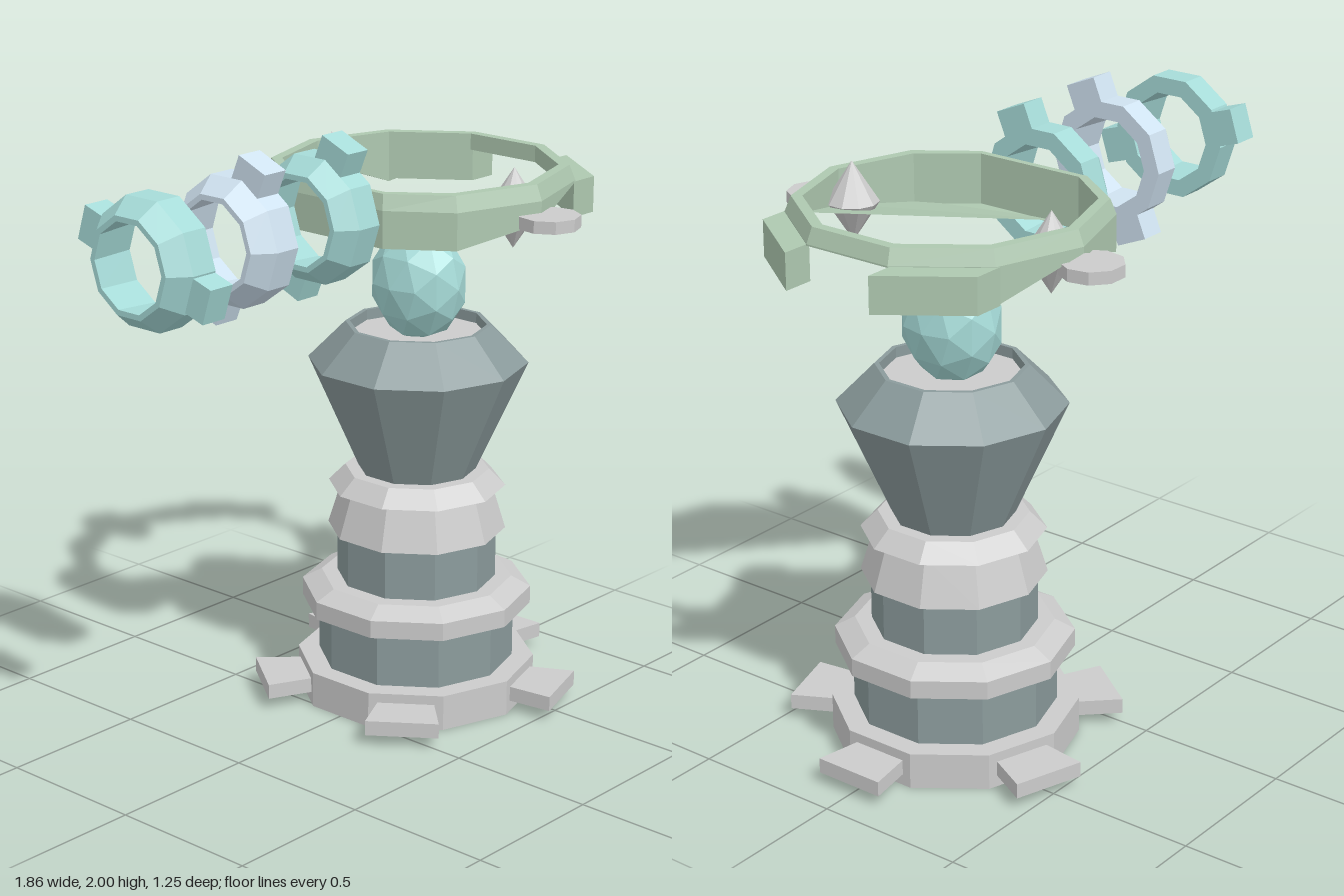
import * as THREE from 'three';

const paint = (color) => new THREE.MeshStandardMaterial({ color, flatShading: true });
const GREY = paint(0xcccccc), SLATE = paint(0x8b9b9c), TEAL = paint(0xa6dbd8), BLUE = paint(0xcfe2f0);
const GREEN = paint(0xaec8b0), SHEET = paint(0xaec8b0);
SHEET.side = THREE.DoubleSide;

const v2 = (p) => new THREE.Vector2(p[0], p[1]);

function add(parent, name, geometry, material, x = 0, y = 0, z = 0) {
  const mesh = new THREE.Mesh(geometry, material);
  mesh.name = name;
  mesh.position.set(x, y, z);
  parent.add(mesh);
  return mesh;
}

// ten-sided turned part from [radius, height] pairs, bottom to top
const turned = (profile) => new THREE.LatheGeometry(profile.map(v2), 10);

function geometryFrom(points, index) {
  const g = new THREE.BufferGeometry();
  g.setAttribute('position', new THREE.Float32BufferAttribute(points.flat(), 3));
  g.setIndex(index);
  g.computeVertexNormals();
  return g;
}

// closed tube of quads through equal cross-sections arranged in a circle
function closedLoft(sections) {
  const n = sections.length, m = sections[0].length, index = [];
  for (let k = 0; k < n; k++) {
    for (let i = 0; i < m; i++) {
      const k2 = (k + 1) % n, i2 = (i + 1) % m;
      const a = k * m + i, b = k2 * m + i, c = k2 * m + i2, d = k * m + i2;
      index.push(a, b, c, a, c, d);
    }
  }
  return geometryFrom(sections.flat(), index);
}

// corner of the crown outline, cut flat on its -x side
function crownCorner(k, r) {
  if (k === 7 || k === 8) return [-0.425 + (0.5 - r) * 0.65, (k === 8 ? 1 : -1) * 0.43 * r];
  const t = (k * Math.PI) / 5;
  return [Math.sin(t) * r, Math.cos(t) * r];
}

function buildTower() {
  const tower = new THREE.Group();
  tower.name = 'tower';
  const tiers = [
    ['base', GREY, [[0, 0], [0.4, 0], [0.4, 0.12], [0, 0.12]]],
    ['lowerDrum', SLATE, [[0.328, 0.12], [0.328, 0.31]]],
    ['collar', GREY, [[0, 0.31], [0.385, 0.31], [0.385, 0.37], [0.32, 0.405], [0, 0.405]]],
    ['upperDrum', SLATE, [[0.266, 0.4], [0.266, 0.58]]],
    ['lowerSkirt', GREY, [[0, 0.577], [0.297, 0.577], [0.25, 0.73]]],
    ['upperSkirt', GREY, [[0, 0.727], [0.295, 0.727], [0.24, 0.783], [0, 0.783]]],
    ['funnel', SLATE, [[0.195, 0.78], [0.363, 1.155], [0.24, 1.28], [0.225, 1.28], [0.225, 1.23]]],
    ['funnelFloor', GREY, [[0.23, 1.245], [0, 1.245]]],
  ];
  for (const [name, material, profile] of tiers) add(tower, name, turned(profile), material);

  // five feet around the base
  for (let i = 0; i < 5; i++) {
    const foot = new THREE.Group();
    foot.name = 'foot';
    foot.rotation.y = (i * Math.PI * 2) / 5;
    const shape = new THREE.Shape([[0.36, -0.09], [0.53, -0.12], [0.53, 0.12], [0.36, 0.09]].map(v2));
    const slab = new THREE.ExtrudeGeometry(shape, { depth: 0.05, bevelEnabled: false });
    slab.rotateX(-Math.PI / 2);
    add(foot, 'footSlab', slab, GREY, 0, 0.038, 0);
    tower.add(foot);
  }

  // faceted egg in the funnel
  const egg = new THREE.IcosahedronGeometry(1, 1);
  egg.scale(0.145, 0.195, 0.17);
  add(tower, 'egg', egg, TEAL, 0, 1.42, 0);
  return tower;
}

function buildCrown() {
  const crown = new THREE.Group();
  crown.name = 'crown';

  // band whose lower edge rises and falls around the ring
  const low = [1.7, 1.765, 1.765, 1.765, 1.65, 1.75, 1.65, 1.65, 1.65, 1.65];
  const at = (k, r, y) => {
    const [x, z] = crownCorner(k, r);
    return [x, y, z];
  };
  const sections = low.map((y, k) => [
    at(k, 0.5, y), at(k, 0.5, 1.77), at(k, 0.48, 1.82), at(k, 0.445, 1.82), at(k, 0.445, y),
  ]);
  add(crown, 'crownBand', closedLoft(sections), GREEN);

  // sloping web across one side of the opening
  const web = [
    [-0.42, 1.655, -0.12], at(8, 0.49, 1.655), at(9, 0.49, 1.655), at(0, 0.49, 1.7), at(1, 0.49, 1.768),
  ];
  add(crown, 'web', geometryFrom(web, [0, 2, 1, 0, 3, 2, 0, 4, 3]), SHEET);

  for (const s of [1, -1]) {
    // slanted plate at the +x corners
    const plate = new THREE.Shape(
      [[0.28, -s * 0.41], [0.385, -s * 0.41], [0.565, -s * 0.158], [0.46, -s * 0.158]].map(v2));
    const plateGeo = new THREE.ExtrudeGeometry(plate, { depth: 0.118, bevelEnabled: false });
    plateGeo.rotateX(-Math.PI / 2);
    add(crown, 'plate', plateGeo, GREEN, 0, 1.65, 0);

    // double-pointed spike inside and round tab outside
    const spike = new THREE.LatheGeometry([[0, -0.13], [0.085, 0], [0, 0.13]].map(v2), 10);
    add(crown, 'spike', spike, GREY, 0.005, 1.73, s * 0.385);
    add(crown, 'roundTab', new THREE.CylinderGeometry(0.1, 0.1, 0.04, 9), GREY, 0, 1.713, s * 0.53);
  }
  return crown;
}

// bevelled ring on the x axis with two opposite lugs
function buildRing(x, material, lugAngle) {
  const ring = new THREE.Group();
  ring.name = 'floatingRing';
  ring.position.set(x, 1.725, 0);
  ring.rotation.z = Math.PI / 2;
  const profile = [[0.15, 0], [0.208, 0], [0.208, 0.09], [0.158, 0.152], [0.14, 0.152], [0.15, 0]];
  add(ring, 'ringBody', turned(profile), material);
  for (const turn of [0, Math.PI]) {
    const a = lugAngle + turn;
    const lug = add(ring, 'lug', new THREE.BoxGeometry(0.09, 0.09, 0.115), material,
      Math.cos(a) * 0.227, 0.045, Math.sin(a) * 0.227);
    lug.rotation.y = -a;
  }
  return ring;
}

export function createModel() {
  const model = new THREE.Group();
  model.name = 'model';
  const body = new THREE.Group();
  body.name = 'body';
  body.position.x = 0.365;
  body.add(buildTower(), buildCrown());
  model.add(body);
  model.add(
    buildRing(-0.065, TEAL, 0.4),
    buildRing(-0.43, BLUE, 0.4),
    buildRing(-0.78, TEAL, -1.26),
  );
  return model;
}
